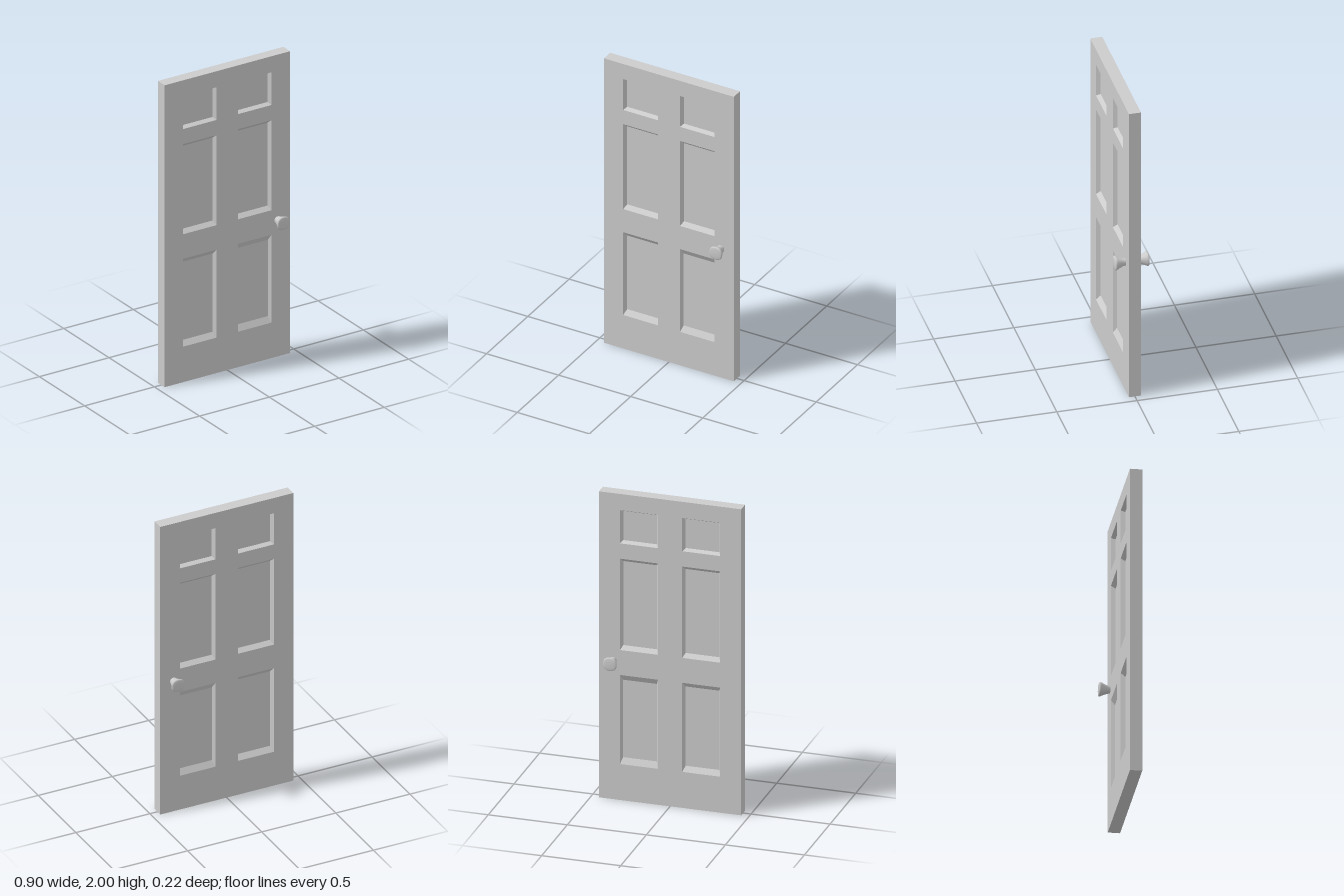
import * as THREE from 'three';

const W = 0.45, H = 2, T = 0.0375; // half width, height, half thickness
const IN = 0.077, OUT = 0.317;     // panel edges from the centre line
const SIDE = 0.013;                // bevel width at the panel sides

// Each row: bottom, top, bevel height
const rows = [[0.235, 0.817, 0.032], [0.98, 1.577, 0.024], [1.677, 1.894, 0.013]];

const material = new THREE.MeshStandardMaterial({ color: 0xcccccc });

function add(parent, name, geometry) {
  const mesh = new THREE.Mesh(geometry, material);
  mesh.name = name;
  parent.add(mesh);
  return mesh;
}

// Flat-shaded geometry from quads with counter-clockwise corners
function quads(list) {
  const pos = list.flatMap(([a, b, c, d]) => [a, b, c, a, c, d].flat());
  const g = new THREE.BufferGeometry();
  g.setAttribute('position', new THREE.Float32BufferAttribute(pos, 3));
  g.computeVertexNormals();
  return g;
}

const corners = (x0, x1, y0, y1, z) => [[x0, y0, z], [x1, y0, z], [x1, y1, z], [x0, y1, z]];

// Sunk panel: four sloping bevels round a flat floor
function recess({ x0, x1, y0, y1, bevel, depth }) {
  const o = corners(x0, x1, y0, y1, T);
  const i = corners(x0 + SIDE, x1 - SIDE, y0 + bevel, y1 - bevel, T - depth);
  const list = [i];
  for (let k = 0; k < 4; k++) {
    const n = (k + 1) % 4;
    list.push([o[k], o[n], i[n], i[k]]);
  }
  return quads(list);
}

// One face of the door; hand is the side (+1 or -1) the knob is on
function doorFace(name, hand) {
  const face = new THREE.Group();
  face.name = name;
  const shape = new THREE.Shape([[-W, 0], [W, 0], [W, H], [-W, H]].map(p => new THREE.Vector2(...p)));
  rows.forEach(([y0, y1, b], r) => {
    for (const s of [-1, 1]) {
      const x0 = s < 0 ? -OUT : IN, x1 = s < 0 ? -IN : OUT;
      // the lower panel under the knob has a gentler slope
      const gentle = r === 0 && s === hand;
      add(face, 'panel', recess({ x0, x1, y0, y1, bevel: gentle ? 0.038 : b, depth: gentle ? 0.022 : 0.026 }));
      shape.holes.push(new THREE.Path(corners(x0, x1, y0, y1, 0).reverse().map(c => new THREE.Vector2(c[0], c[1]))));
    }
  });
  add(face, 'frame', new THREE.ShapeGeometry(shape)).position.z = T;

  // Flared knob, slightly squared off in outline
  const profile = [[0.023, 0.034], [0.0235, 0.045], [0.027, 0.058], [0.034, 0.076], [0.041, 0.09],
    [0.0445, 0.098], [0.043, 0.1035], [0.037, 0.1062], [0.02, 0.1075], [0, 0.108]];
  const g = new THREE.LatheGeometry(profile.map(p => new THREE.Vector2(...p)), 32);
  const p = g.attributes.position;
  for (let k = 0; k < p.count; k++) {
    const f = 1 - 0.03 * Math.cos(4 * Math.atan2(p.getZ(k), p.getX(k)));
    p.setX(k, p.getX(k) * f);
    p.setZ(k, p.getZ(k) * f);
  }
  g.computeVertexNormals();
  const knob = add(face, 'knob', g);
  knob.rotation.x = Math.PI / 2;
  knob.position.set(hand * 0.361, 0.906, 0);
  return face;
}

export function createModel() {
  const door = new THREE.Group();
  door.name = 'door';
  door.add(doorFace('frontFace', 1));
  const back = doorFace('backFace', -1);
  back.rotation.y = Math.PI;
  door.add(back);

  // Narrow edges joining the two faces
  const f = corners(-W, W, 0, H, T), b = corners(-W, W, 0, H, -T);
  add(door, 'edges', quads(f.map((c, k) => [c, b[k], b[(k + 1) % 4], f[(k + 1) % 4]])));
  return door;
}
